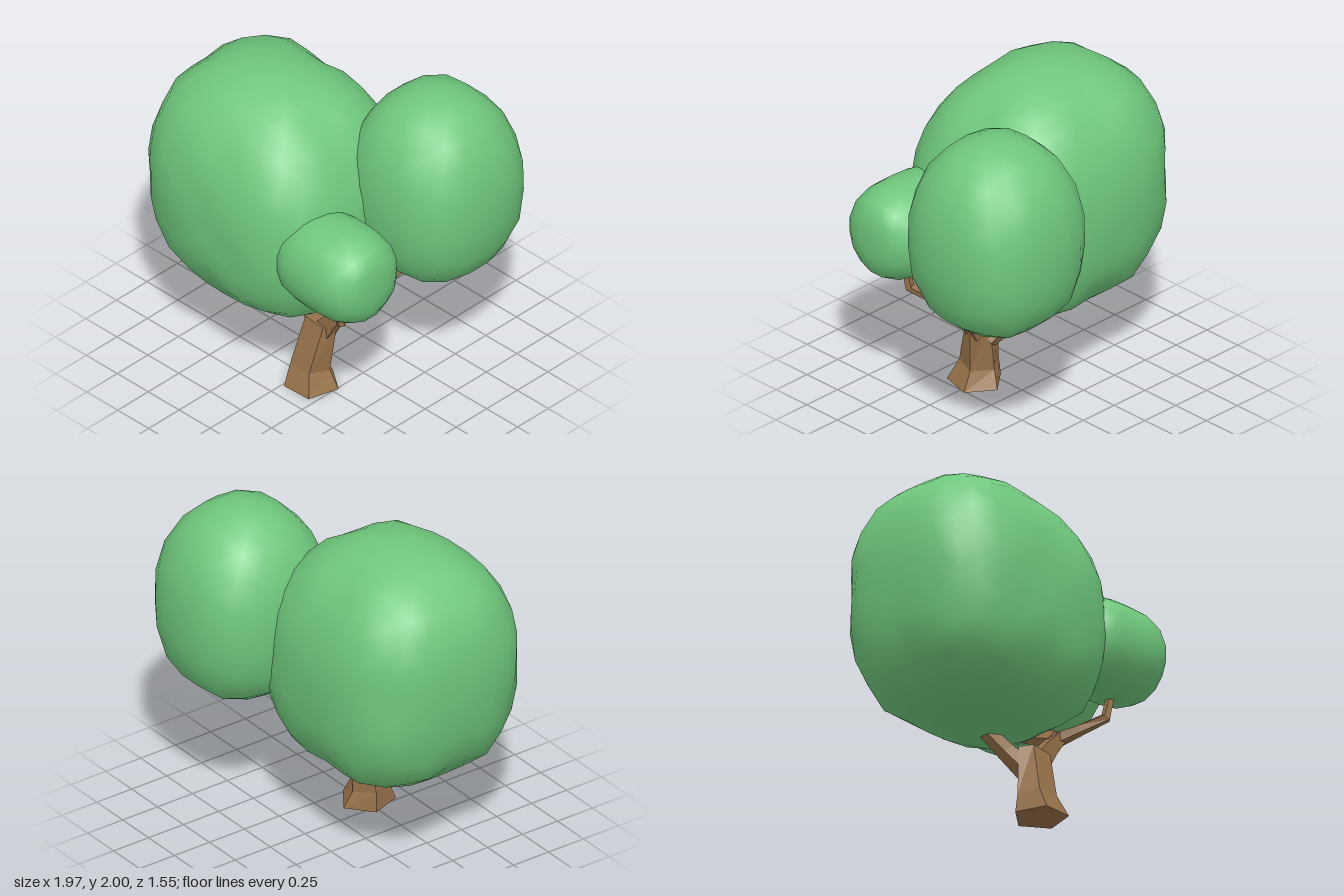
import * as THREE from 'three';
import { mergeVertices } from 'three/addons/utils/BufferGeometryUtils.js';

const leaf = new THREE.MeshStandardMaterial({ color: 0x6fc77c });
const bark = new THREE.MeshStandardMaterial({ color: 0x967149, flatShading: true });

// Puffy crown: a coarse sphere squared off by exponents.
// h rounds the outline around the pole, top/bottom round the two ends,
// lean makes the upper -x shoulder squarer, shear slides the top towards -x,
// lump adds gentle unevenness.
function crown(name, center, half, { h, top, bottom, lean = 0, shear = 0, lump = 0, detail = 3 }) {
  let g = new THREE.IcosahedronGeometry(1, detail);
  g.deleteAttribute('normal');
  g.deleteAttribute('uv');
  g = mergeVertices(g, 1e-4);
  const p = g.attributes.position;
  const d = new THREE.Vector3();
  for (let i = 0; i < p.count; i++) {
    d.fromBufferAttribute(p, i).normalize();
    const v = d.y > 0 ? top + lean * Math.max(0, -d.x) : bottom;
    const side = Math.pow(Math.abs(d.x) ** h + Math.abs(d.z) ** h, v / h);
    let r = Math.pow(side + Math.abs(d.y) ** v, -1 / v);
    r *= 1 + lump * Math.sin(9 * d.x + 2) * Math.sin(9 * d.y + 1) * Math.sin(8 * d.z + 4);
    p.setXYZ(i, d.x * r * half[0] - shear * d.y, d.y * r * half[1], d.z * r * half[2]);
  }
  g.computeVertexNormals();
  const mesh = new THREE.Mesh(g, leaf);
  mesh.name = name;
  mesh.position.set(...center);
  return mesh;
}

// Faceted limb lofted through rings [x, y, z, radius, depthRadius]
function limb(name, rings, sides, turn = 0) {
  const pts = rings.map(([x, y, z]) => new THREE.Vector3(x, y, z));
  const pos = [], idx = [];
  const zAxis = new THREE.Vector3(0, 0, 1);
  rings.forEach(([, , , r, rz = r], i) => {
    const t = pts[Math.min(i + 1, pts.length - 1)].clone().sub(pts[Math.max(i - 1, 0)]).normalize();
    if (i === 0 && pts[0].y === 0) t.set(0, 1, 0); // foot stays level
    const u = t.clone().cross(zAxis).normalize();
    const w = u.clone().cross(t);
    for (let j = 0; j < sides; j++) {
      const a = turn + (j / sides) * Math.PI * 2;
      const q = pts[i].clone().addScaledVector(u, r * Math.cos(a)).addScaledVector(w, rz * Math.sin(a));
      pos.push(q.x, q.y, q.z);
    }
  });
  const last = (rings.length - 1) * sides;
  const c0 = rings.length * sides;
  pos.push(...pts[0].toArray(), ...pts[pts.length - 1].toArray());
  for (let j = 0; j < sides; j++) {
    const k = (j + 1) % sides;
    for (let s = 0; s < last; s += sides) {
      const a = s + j, b = s + k, c = a + sides, d = b + sides;
      idx.push(a, c, b, b, c, d);
    }
    idx.push(c0, j, k, c0 + 1, last + k, last + j);
  }
  const g = new THREE.BufferGeometry();
  g.setAttribute('position', new THREE.Float32BufferAttribute(pos, 3));
  g.setIndex(idx);
  g.computeVertexNormals();
  const mesh = new THREE.Mesh(g, bark);
  mesh.name = name;
  return mesh;
}

export function createModel() {
  const tree = new THREE.Group();
  tree.name = 'tree';

  // Five-sided trunk with a flared foot
  tree.add(limb('trunk', [
    [0.107, 0, 0.27, 0.163, 0.17],
    [0.082, 0.12, 0.262, 0.126, 0.115],
    [0.116, 0.43, 0.218, 0.12, 0.066],
  ], 5, -0.35));

  // Side branch reaching back into the large crown
  tree.add(limb('sideBranch', [
    [0.08, 0.3, 0.2, 0.07],
    [-0.03, 0.42, 0.13, 0.058],
    [-0.13, 0.52, 0.08, 0.05],
    [-0.2, 0.64, 0.04, 0.04],
  ], 5));

  // Bough that splits in two
  tree.add(limb('bough', [
    [0.14, 0.36, 0.212, 0.085, 0.055],
    [0.22, 0.48, 0.212, 0.065, 0.06],
    [0.32, 0.6, 0.212, 0.045, 0.062],
  ], 4, Math.PI / 4));
  tree.add(limb('frontBranch', [
    [0.29, 0.57, 0.2, 0.05],
    [0.38, 0.63, 0.32, 0.036],
    [0.49, 0.71, 0.425, 0.032],
    [0.52, 0.88, 0.44, 0.026],
  ], 5));
  tree.add(limb('backBranch', [
    [0.29, 0.57, 0.22, 0.055],
    [0.34, 0.66, 0.02, 0.046],
    [0.39, 0.75, -0.15, 0.042],
    [0.42, 0.92, -0.21, 0.036],
  ], 5));

  // Crowns
  tree.add(crown('largeCrown', [-0.29, 1.235, 0.155], [0.69, 0.745, 0.615],
    { h: 3.1, top: 2.05, bottom: 2.9, lean: 0.7, shear: 0.035, lump: 0.025, detail: 5 }));
  tree.add(crown('tallCrown', [0.52, 1.395, -0.315], [0.46, 0.605, 0.465],
    { h: 2.8, top: 2.1, bottom: 2.9 }));
  const small = crown('smallCrown', [0.47, 1.115, 0.44], [0.295, 0.33, 0.28],
    { h: 2.1, top: 3.4, bottom: 3.4 });
  small.rotation.z = Math.PI / 2; // square ends point sideways
  tree.add(small);

  return tree;
}
